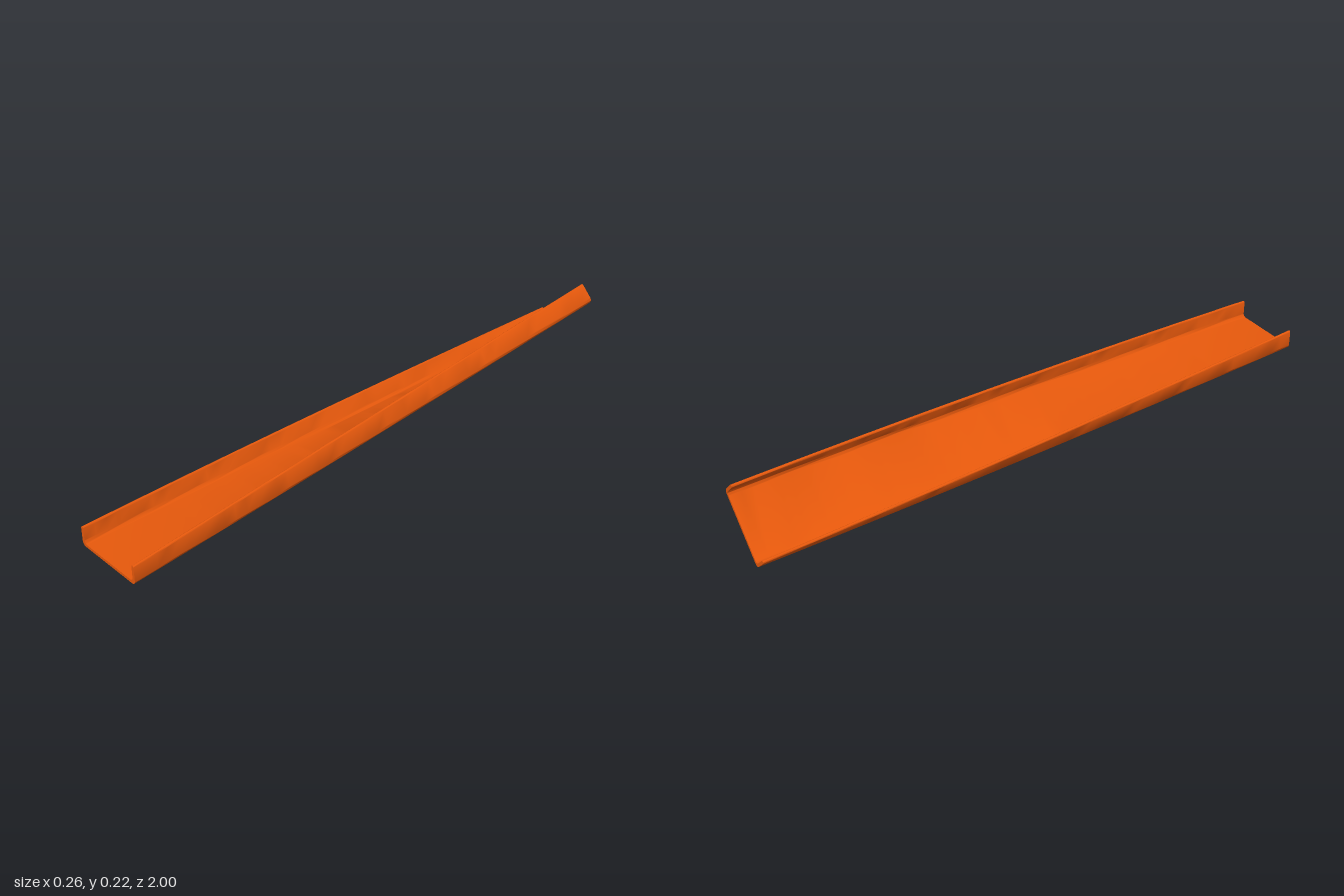
import * as THREE from 'three';
import { toCreasedNormals } from 'three/addons/utils/BufferGeometryUtils.js';

// U-shaped section: rounded lower corners, fully rounded wall tips, origin at the twist axis
function channelSection() {
  const half = 0.125, bottom = -0.0125, top = 0.057, t = 0.01;
  const R = 0.015, r = 0.012, e = t / 2, q = Math.PI / 2;
  const inX = half - t - r, inY = bottom + t + r;
  const s = new THREE.Shape();
  s.moveTo(-half + R, bottom);
  s.absarc(half - R, bottom + R, R, -q, 0, false);       // outer corner, left
  s.absarc(half - e, top - e, e, 0, 2 * q, false);       // wall tip, left
  s.absarc(inX, inY, r, 0, -q, true);                    // inner corners
  s.absarc(-inX, inY, r, -q, -2 * q, true);
  s.absarc(-half + e, top - e, e, 0, 2 * q, false);      // wall tip, right
  s.absarc(-half + R, bottom + R, R, 2 * q, 3 * q, false); // outer corner, right
  return s;
}

// Turn each section about the z axis, from 0 at the front to the full angle at the back
function twist(geometry, angle) {
  const p = geometry.attributes.position;
  for (let i = 0; i < p.count; i++) {
    const x = p.getX(i), y = p.getY(i);
    const a = angle * (1 - p.getZ(i)) / 2;
    p.setXY(i, x * Math.cos(a) - y * Math.sin(a), x * Math.sin(a) + y * Math.cos(a));
  }
}

export function createModel() {
  const group = new THREE.Group();
  group.name = 'twistedChannel';

  let geometry = new THREE.ExtrudeGeometry(channelSection(), {
    depth: 2, steps: 48, bevelEnabled: false, curveSegments: 8,
  });
  geometry.translate(0, 0, -1);
  twist(geometry, Math.PI / 4);

  // Stand on the ground, centred
  geometry.computeBoundingBox();
  const { min, max } = geometry.boundingBox;
  geometry.translate(-(min.x + max.x) / 2, -min.y, 0);
  geometry = toCreasedNormals(geometry, 0.6);

  const channel = new THREE.Mesh(geometry, new THREE.MeshStandardMaterial({ color: 0xe8590c }));
  channel.name = 'channel';
  group.add(channel);
  return group;
}
